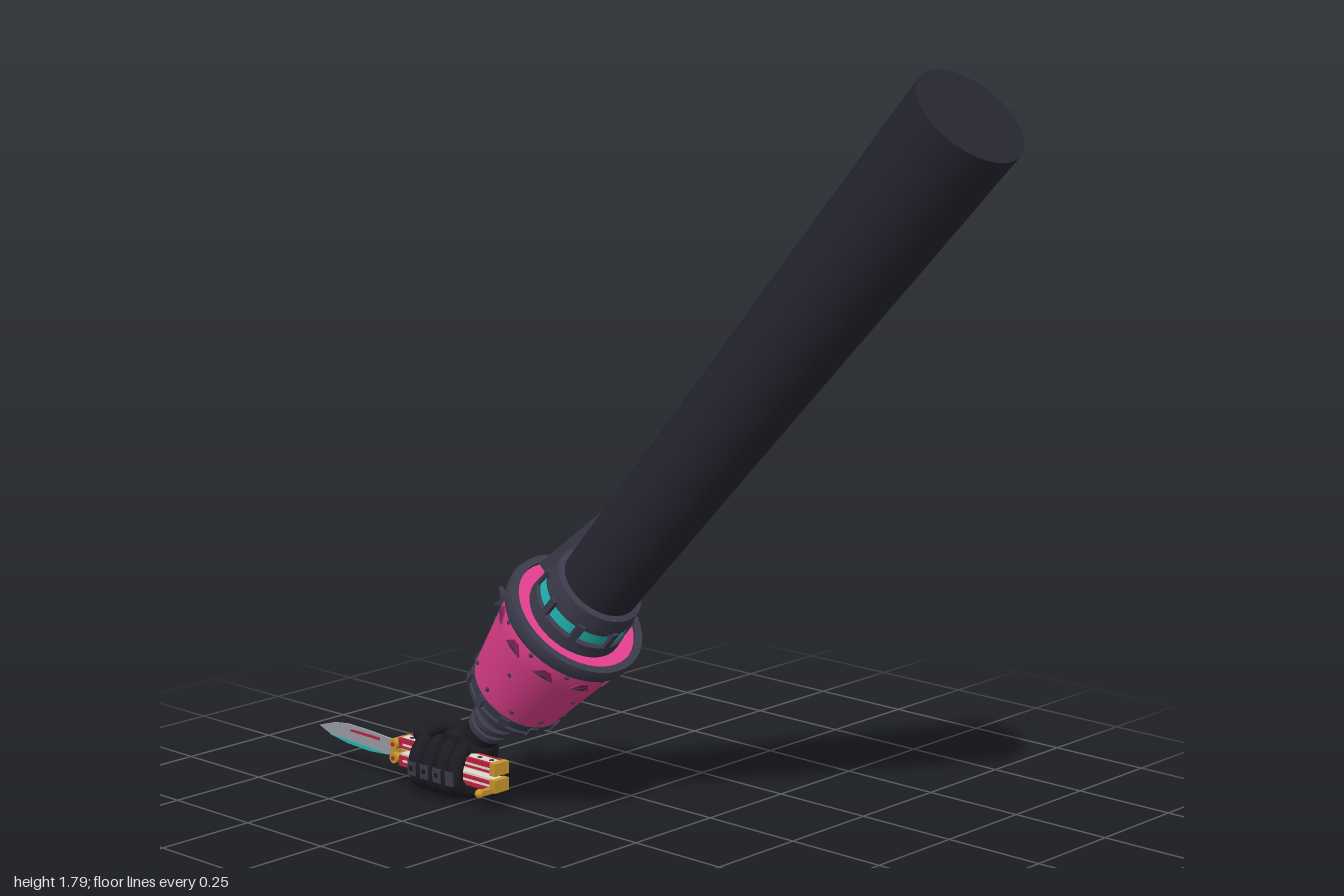
import * as THREE from 'three';
import { toCreasedNormals } from 'three/addons/utils/BufferGeometryUtils.js';
import { RoundedBoxGeometry } from 'three/addons/geometries/RoundedBoxGeometry.js';

const mat = (name, color) => {
  const m = new THREE.MeshStandardMaterial({ color });
  m.name = name;
  return m;
};

export function createModel() {
  const M = {
    sleeve: mat('sleeve black', 0x262631),
    rim: mat('slate grey', 0x3b3b4c),
    pink: mat('hot pink', 0xe4408f),
    deep: mat('deep pink', 0x94265f),
    cyan: mat('cyan', 0x22b8b4),
    glove: mat('glove black', 0x1b1b22),
    gold: mat('gold', 0xc8962c),
    red: mat('red', 0xc02040),
    cream: mat('cream', 0xe2d8cc),
    steel: mat('steel', 0x9a9ca8),
  };
  const root = new THREE.Group();
  root.name = 'knifeArm';

  const add = (parent, name, geo, material, pos = [0, 0, 0], rot = [0, 0, 0]) => {
    const mesh = new THREE.Mesh(geo, material);
    mesh.name = name;
    mesh.position.set(...pos);
    mesh.rotation.set(...rot);
    parent.add(mesh);
    return mesh;
  };
  const box = (p, name, size, m, pos, rot) => add(p, name, new THREE.BoxGeometry(...size), m, pos, rot);
  const lathe = (p, name, pts, m) => add(p, name, toCreasedNormals(
    new THREE.LatheGeometry(pts.map(a => new THREE.Vector2(...a)), 40), 0.6), m);
  // flat profile given as [-z, y] pairs, extruded across x
  const plate = (pts, depth) => {
    const s = new THREE.Shape(pts.map(a => new THREE.Vector2(...a)));
    return new THREE.ExtrudeGeometry(s, { depth, bevelEnabled: false, curveSegments: 8 })
      .translate(0, 0, -depth / 2).rotateY(Math.PI / 2);
  };
  const tube = (p, name, pts, r, m) => {
    const curve = new THREE.CatmullRomCurve3(pts.map(a => new THREE.Vector3(...a)));
    add(p, name, new THREE.TubeGeometry(curve, 18, r, 10), m);
    for (const e of [pts[0], pts[pts.length - 1]]) add(p, name + 'Tip', new THREE.SphereGeometry(r, 10, 8), m, e);
  };

  // ---- Forearm: local y runs up the sleeve, local -z is the upper/back side
  const arm = new THREE.Group();
  arm.name = 'forearm';
  arm.position.set(0, 0.5, -0.19);
  arm.rotation.x = 0.733;
  root.add(arm);

  lathe(arm, 'sleeve', [[0.09, 0], [0.094, 0.2], [0.105, 0.7], [0.12, 1.3], [0.1275, 1.634], [0, 1.634]], M.sleeve);
  lathe(arm, 'collar', [[0.118, 0], [0.116, 0.035], [0.104, 0.04], [0.104, 0.075], [0.11, 0.08],
    [0.106, 0.12], [0.09, 0.125]], M.rim);
  for (let i = 0; i < 8; i++) {
    const a = (i / 8) * Math.PI * 2;
    add(arm, 'collarLight', new THREE.CylinderGeometry(0.109, 0.111, 0.026, 6, 1, true, a, 0.58), M.cyan, [0, 0.057, 0]);
    box(arm, 'collarClip', [0.016, 0.05, 0.014], M.rim, [Math.sin(a - 0.1) * 0.109, 0.057, Math.cos(a - 0.1) * 0.109], [0, a - 0.1, 0]);
  }
  add(arm, 'fin', plate([[0.088, 0.345], [0.15, 0.01], [0.09, 0.01]], 0.014), M.rim);

  // ---- Flared cuff
  lathe(arm, 'cuffShell', [[0.116, -0.27], [0.132, -0.18], [0.147, -0.09], [0.158, -0.01], [0.152, 0.006], [0.1, 0.004]], M.pink);
  lathe(arm, 'cuffRim', [[0.155, -0.022], [0.168, -0.02], [0.172, 0], [0.168, 0.014], [0.15, 0.014], [0.15, 0.004]], M.rim);
  lathe(arm, 'cuffEnd', [[0.04, -0.33], [0.09, -0.325], [0.108, -0.31], [0.11, -0.298], [0.105, -0.294],
    [0.105, -0.288], [0.117, -0.283], [0.119, -0.262], [0.112, -0.26]], M.rim);
  const onCuff = (name, geo, m, a, y) => {
    const g = new THREE.Group();
    g.name = name + 'Mount';
    g.rotation.y = a;
    arm.add(g);
    add(g, name, geo, m, [0, y, 0.159 + 0.16 * y], [0.165, 0, 0]);
  };
  const tri = (w, h) => new THREE.ExtrudeGeometry(new THREE.Shape([[-w, -h], [w, -h], [w * 0.3, h], [-w * 0.3, h]]
    .map(a => new THREE.Vector2(...a))), { depth: 0.004, bevelEnabled: false });
  const stud = new THREE.SphereGeometry(0.006, 8, 6);
  for (let i = 0; i < 10; i++) {
    const a = (i + 0.5) / 10 * Math.PI * 2;
    onCuff('vent', tri(0.026, 0.013), M.deep, a, -0.06);
    onCuff('ventSlot', tri(0.016, 0.004).translate(0, -0.008, 0.002), M.rim, a, -0.06);
    onCuff('stud', stud, M.rim, a + 0.3, -0.04);
    onCuff('stud', stud, M.rim, a, -0.235);
    if (i % 2) onCuff('stud', stud, M.rim, a + 0.2, -0.14);
    box(arm, 'endLug', [0.022, 0.026, 0.012], M.rim, [Math.sin(a) * 0.117, -0.278, Math.cos(a) * 0.117], [0, a, 0]);
  }
  // dark gashes on the back of the cuff
  [[2.75, -0.1], [3.55, -0.12], [3.3, -0.17]].forEach(([a, y]) =>
    onCuff('gash', tri(0.012, 0.022), M.rim, a, y));
  const star = [];
  for (let i = 0; i < 10; i++) {
    const r = i % 2 ? 0.015 : 0.04, a = (i / 10) * Math.PI * 2 + 0.3;
    star.push([0.158 + Math.cos(a) * r, -0.148 + Math.sin(a) * r]);
  }
  add(arm, 'starOrnament', plate(star, 0.012), M.rim);

  // ---- Ribbed wrist
  const ribs = [];
  for (let i = 0; i < 4; i++) {
    const y = -0.43 + i * 0.03, r = 0.049 + i * 0.004;
    ribs.push([r - 0.008, y], [r, y + 0.006], [r, y + 0.02], [r - 0.008, y + 0.026]);
  }
  lathe(arm, 'wrist', [[0, -0.46], [0.04, -0.45], ...ribs], M.rim);
  add(arm, 'wristCore', new THREE.CylinderGeometry(0.045, 0.04, 0.17, 20), M.glove, [0, -0.42, 0]);

  // ---- Gloved fist
  const hand = new THREE.Group();
  hand.name = 'hand';
  root.add(hand);
  add(hand, 'palm', new RoundedBoxGeometry(0.065, 0.115, 0.15, 3, 0.022), M.glove, [0.012, 0.1, -0.548], [0.15, 0, 0]);
  add(hand, 'handHeel', new THREE.SphereGeometry(0.05, 14, 10), M.glove, [0, 0.135, -0.51]);
  for (let i = 0; i < 4; i++) {
    const z = -0.49 - i * 0.042, y = i === 0 ? 0.006 : 0;
    tube(hand, 'finger', [[0.03, 0.065 + y, z], [0.012, 0.034 + y, z], [-0.045, 0.033 + y, z], [-0.088, 0.055 + y, z],
      [-0.09, 0.105, z], [-0.068, 0.137, z]], 0.02, M.glove);
    add(hand, 'knuckle', new THREE.SphereGeometry(0.021, 10, 8), M.glove, [0.022, 0.03 + y, z]);
    box(hand, 'fingerPlate', [0.008, 0.034, 0.024], M.rim, [-0.108, 0.08, z]);
    add(hand, 'knuckleSpike', new THREE.ConeGeometry(0.009, 0.035, 6), M.rim, [0.052, 0.085 + i * 0.018, z], [0, 0, -1.3]);
  }
  tube(hand, 'thumb', [[0.02, 0.135, -0.55], [0.012, 0.16, -0.59], [-0.025, 0.164, -0.62], [-0.062, 0.152, -0.63]], 0.021, M.glove);
  box(hand, 'handPlate', [0.01, 0.022, 0.08], M.pink, [0.045, 0.068, -0.56], [0.3, 0, 0]);
  box(hand, 'backPlate', [0.01, 0.04, 0.06], M.rim, [0.044, 0.12, -0.545], [0.3, 0, 0]);

  // ---- Folding knife, along -z
  const knife = new THREE.Group();
  knife.name = 'knife';
  knife.position.set(-0.05, 0.095, 0);
  root.add(knife);
  for (const s of [-1, 1]) {
    box(knife, 'handleCore', [0.03, 0.028, 0.31], M.cream, [0, s * 0.019, -0.545]);
    for (const x of [-1, 1]) {
      box(knife, 'handleLiner', [0.007, 0.024, 0.32], M.red, [x * 0.018, s * 0.022, -0.54]);
      box(knife, 'linerTrim', [0.003, 0.005, 0.29], M.cream, [x * 0.0225, s * 0.02, -0.54]);
    }
    for (let i = 0; i < 8; i++) {
      add(knife, 'handleHole', new THREE.CylinderGeometry(0.006, 0.006, 0.003, 10), M.rim, [0, s * 0.033, -0.41 - i * 0.038]);
    }
    box(knife, 'buttCap', [0.046, 0.03, 0.018], M.gold, [0, s * 0.02, -0.385]);
    add(knife, 'pivot', new THREE.CylinderGeometry(0.013, 0.013, 0.058, 14), M.gold, [0, s * 0.017, -0.712], [0, 0, Math.PI / 2]);
    add(knife, 'pivotPin', new THREE.CylinderGeometry(0.005, 0.005, 0.064, 10), M.red, [0, s * 0.017, -0.712], [0, 0, Math.PI / 2]);
  }
  box(knife, 'guard', [0.036, 0.05, 0.022], M.gold, [0, 0, -0.718]);
  box(knife, 'latch', [0.06, 0.012, 0.014], M.gold, [-0.03, -0.03, -0.392]);
  add(knife, 'latchKnob', new THREE.SphereGeometry(0.011, 10, 8), M.gold, [-0.058, -0.03, -0.392]);

  // Blade with coloured edge and stripe
  add(knife, 'blade', plate([[0.715, -0.014], [0.75, -0.022], [0.82, -0.027], [0.9, -0.023], [0.96, -0.013], [1, 0.002],
    [0.95, 0.018], [0.9, 0.024], [0.82, 0.022], [0.76, 0.018], [0.715, 0.016]], 0.006), M.steel);
  add(knife, 'bladeEdge', plate([[0.76, -0.0235], [0.82, -0.0275], [0.9, -0.0235], [0.96, -0.0135],
    [0.9, -0.015], [0.82, -0.019]], 0.008), M.cyan);
  add(knife, 'bladeStripe', plate([[0.785, 0.006], [0.89, 0.008], [0.885, 0.014], [0.785, 0.013]], 0.008), M.red);

  return root;
}
